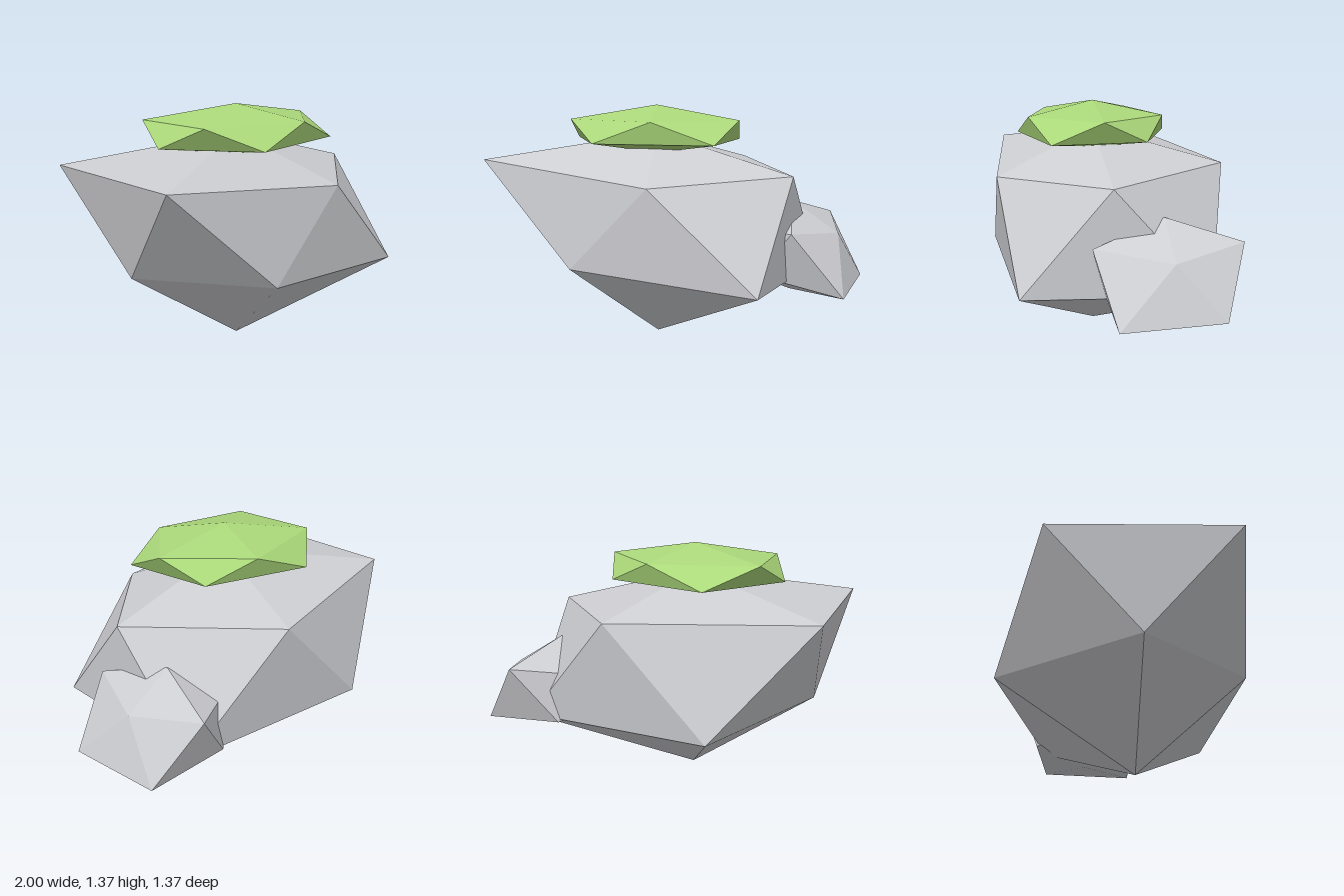
import * as THREE from 'three';

const stone = new THREE.MeshStandardMaterial({ color: 0xcdced2, flatShading: true });
stone.name = 'stone grey';
const moss = new THREE.MeshStandardMaterial({ color: 0xabd87a, flatShading: true });
moss.name = 'moss green';

// Faceted lump: two poles joined by two staggered rings of five points.
// Rings run from +x towards -z; lower[i] sits between upper[i] and upper[i + 1].
function lump(name, material, top, upper, lower, bottom) {
  const corners = [];
  for (let i = 0; i < 5; i++) {
    const j = (i + 1) % 5;
    corners.push(
      top, upper[i], upper[j],
      upper[i], lower[i], upper[j],
      lower[i], lower[j], upper[j],
      bottom, lower[j], lower[i]
    );
  }
  const geometry = new THREE.BufferGeometry();
  geometry.setAttribute('position', new THREE.Float32BufferAttribute(corners.flat(), 3));
  geometry.computeVertexNormals();
  const mesh = new THREE.Mesh(geometry, material);
  mesh.name = name;
  return mesh;
}

export function createModel() {
  const group = new THREE.Group();
  group.name = 'mossyRock';

  // Large boulder, narrowing to a point at the ground
  group.add(lump('boulder', stone,
    [-0.14, 1.21, 0.085],
    [[0.695, 0.99, 0.085], [0.14, 1.02, -0.64], [-0.975, 1.05, -0.43], [-1, 1.06, 0.6], [0.085, 0.96, 0.665]],
    [[0.69, 0.39, -0.45], [-0.445, 0.43, -0.685], [-0.87, 0.5, 0.085], [-0.38, 0.49, 0.685], [0.67, 0.415, 0.575]],
    [-0.14, 0, 0.085]));

  // Small stone sunk into the boulder's side
  group.add(lump('sideStone', stone,
    [0.605, 0.815, -0.2],
    [[0.885, 0.64, -0.2], [0.735, 0.7, -0.6], [0.39, 0.65, -0.41], [0.39, 0.65, 0], [0.725, 0.69, 0.2]],
    [[0.97, 0.345, -0.455], [0.49, 0.38, -0.5], [0.3, 0.42, -0.2], [0.5, 0.42, 0.12], [1, 0.335, 0.105]],
    [0.6, 0.28, -0.19]));

  // Flattened moss cap
  const at = (y) => ([x, z]) => [x, y, z];
  group.add(lump('mossCap', moss,
    [-0.14, 1.37, 0.085],
    [[0.375, 0.085], [0.015, -0.31], [-0.59, -0.18], [-0.57, 0.34], [0.015, 0.475]].map(at(1.29)),
    [[0.28, -0.17], [-0.325, -0.385], [-0.675, 0.085], [-0.32, 0.525], [0.34, 0.37]].map(at(1.167)),
    [-0.14, 1.09, 0.085]));

  return group;
}
